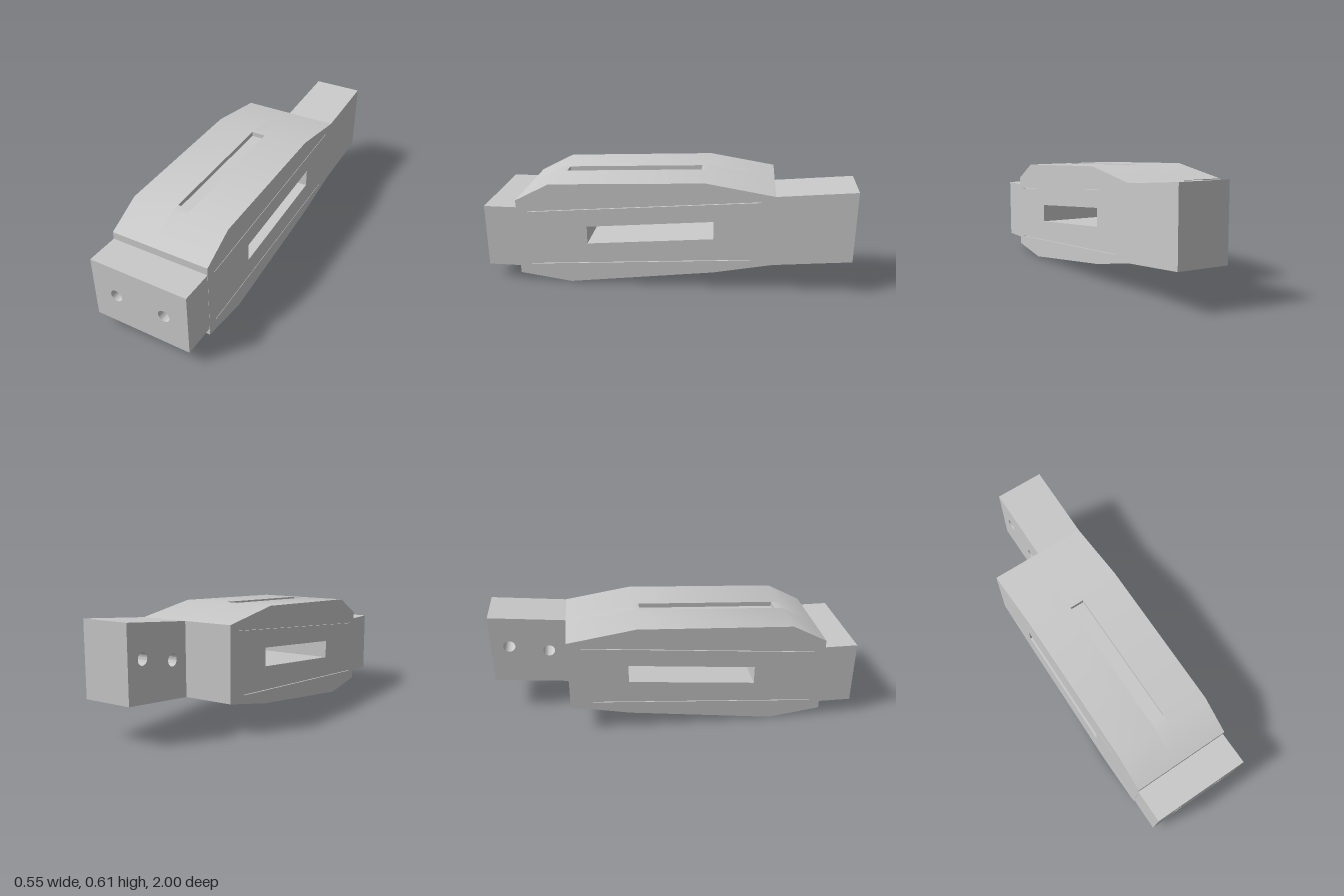
import * as THREE from 'three';
import { mergeGeometries, toCreasedNormals } from 'three/addons/utils/BufferGeometryUtils.js';

const W = 0.275;        // half width of the body
const SLOT = 0.04;      // half width of the top and bottom slots
const GROOVE = 0.01;    // depth of the side grooves
const BORE = 0.12;      // depth of the blind holes
const R = 0.0325;       // radius of the blind holes

// Side outline given as [z, y] points
const outline = (pts, Kind = THREE.Shape) =>
  new Kind(pts.map(([z, y]) => new THREE.Vector2(-z, y)));

// Holes run anticlockwise so that their walls face inward
const circle = (x, y) => new THREE.Path().absarc(x, y, R, 0, Math.PI * 2, false);

// Extrude a side outline across the width, from x0 to x1
function slab(shape, x0, x1) {
  const g = new THREE.ExtrudeGeometry(shape, { depth: x1 - x0, bevelEnabled: false, curveSegments: 24 });
  return g.rotateY(Math.PI / 2).translate(x0, 0, 0);
}

// Linear height along an edge between two [z, y] points
const on = (a, b, z) => a[1] + (b[1] - a[1]) * (z - a[0]) / (b[0] - a[0]);

// Rectangular notch cut into an edge, running from z0 to z1
const notch = (a, b, z0, z1, depth) => [
  [z0, on(a, b, z0)], [z0, on(a, b, z0) + depth],
  [z1, on(a, b, z1) + depth], [z1, on(a, b, z1)],
];

export function createModel() {
  const grey = new THREE.MeshStandardMaterial({ color: 0xc9c9c9 });
  grey.name = 'plain grey';
  const group = new THREE.Group();
  group.name = 'slottedArm';
  const add = (name, parts) => {
    const mesh = new THREE.Mesh(toCreasedNormals(mergeGeometries(parts), 0.6), grey);
    mesh.name = name;
    group.add(mesh);
  };

  // Body corners
  const topFront = [0.63, 0.573], topBack = [-0.212, 0.611];
  const lowFront = [0.532, 0], lowBack = [-0.26, 0.098];
  const front = [[0.82, 0.04], [0.82, 0.474]];
  const back = [[-0.58, 0.552], [-0.58, 0.161]];

  // Window through the sides and thin slanted grooves
  const slantedHole = (z0, y0, z1, y1, t) =>
    outline([[z0, y0 - t], [z1, y1 - t], [z1, y1 + t], [z0, y0 + t]], THREE.Path);

  const body = (slotted, grooved) => {
    const s = outline([
      ...front, topFront,
      ...(slotted ? notch(topFront, topBack, 0.585, -0.175, -0.025) : []),
      topBack, ...back, lowBack,
      ...(slotted ? notch(lowBack, lowFront, -0.21, 0.49, 0.025) : []),
      lowFront,
    ]);
    s.holes.push(slantedHole(0.43, 0.287, -0.26, 0.347, 0.05));
    if (grooved) {
      s.holes.push(slantedHole(0.76, 0.41, -0.505, 0.517, 0.002));
      s.holes.push(slantedHole(0.76, 0.098, -0.46, 0.184, 0.002));
    }
    return s;
  };

  // Body: grooved outer skins, plain cheeks and a slotted core
  const parts = [slab(body(true, false), -SLOT, SLOT)];
  for (const side of [-1, 1]) {
    const span = (a, b) => (side > 0 ? [a, b] : [-b, -a]);
    parts.push(slab(body(false, false), ...span(SLOT, W - GROOVE)));
    parts.push(slab(body(false, true), ...span(W - GROOVE, W)));
  }
  add('body', parts);

  // Rear tongue on the left half, bored from its inner face
  const tongue = () => outline([[-0.58, 0.161], [-0.58, 0.552], [-1, 0.591], [-1, 0.2]]);
  const bored = tongue();
  bored.holes.push(circle(0.9, 0.41), circle(0.685, 0.37));
  add('rearTongue', [slab(bored, 0, BORE), slab(tongue(), BORE, W)]);

  // Front block with two blind holes
  const w = W - 0.001;
  const blockShape = () => new THREE.Shape([
    new THREE.Vector2(-w, 0.083), new THREE.Vector2(w, 0.083),
    new THREE.Vector2(w, 0.433), new THREE.Vector2(-w, 0.433),
  ]);
  const face = blockShape();
  for (const side of [-1, 1]) face.holes.push(circle(side * 0.139, 0.257));
  const extrude = (shape, z0, z1) => new THREE.ExtrudeGeometry(shape,
    { depth: z1 - z0, bevelEnabled: false, curveSegments: 24 }).translate(0, 0, z0);
  add('frontBlock', [extrude(face, 1 - BORE, 1), extrude(blockShape(), 0.82, 1 - BORE)]);

  return group;
}
